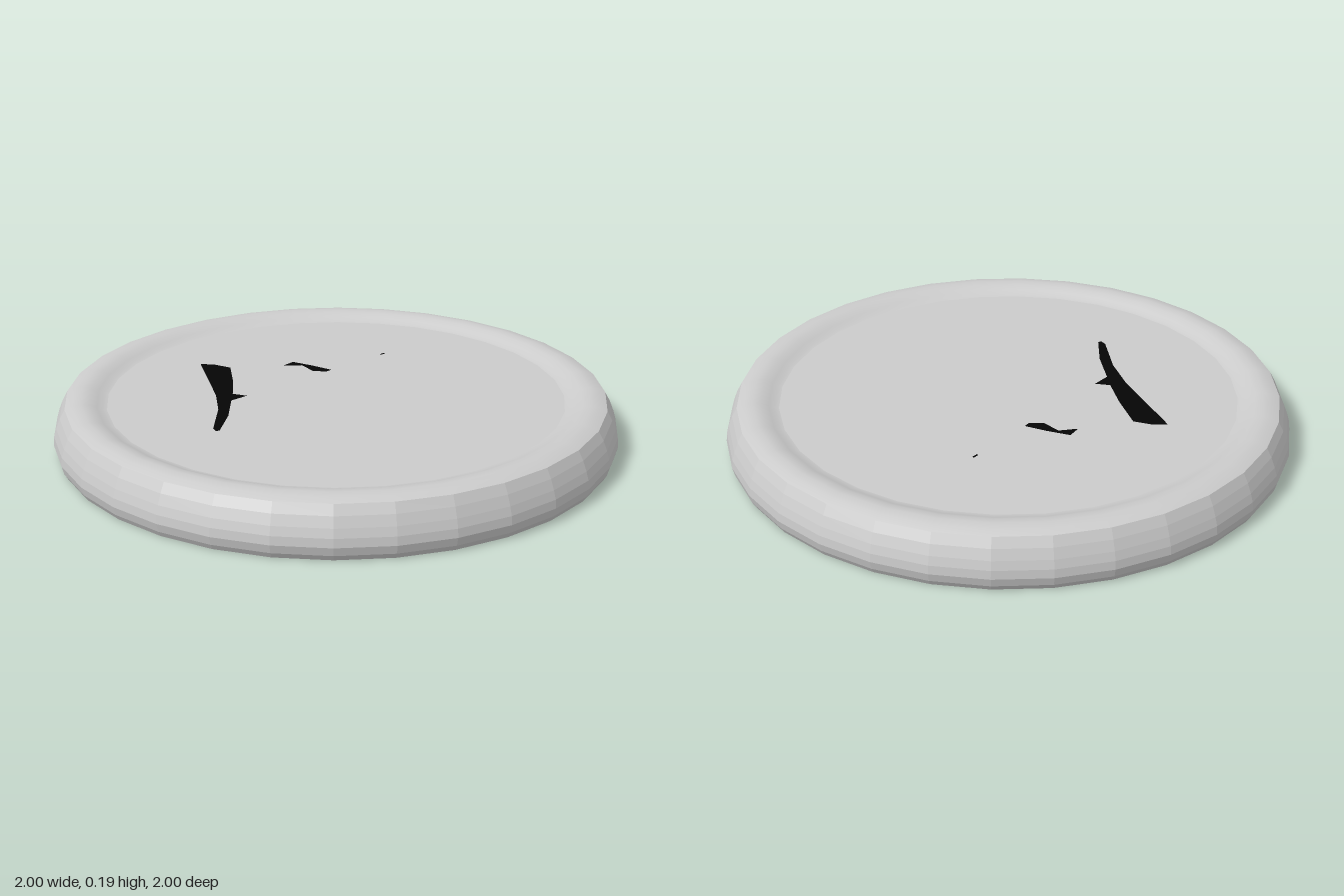
import * as THREE from 'three';

const SIDES = 32;
const FLOOR_Y = 0.166;

export function createModel() {
  const group = new THREE.Group();
  const grey = new THREE.MeshStandardMaterial({ color: 0xcccccc });
  const greyFlat = new THREE.MeshStandardMaterial({ color: 0xcccccc, flatShading: true });
  const black = new THREE.MeshStandardMaterial({ color: 0x050505, side: THREE.DoubleSide });

  const add = (name, geometry, material, y = 0) => {
    const mesh = new THREE.Mesh(geometry, material);
    mesh.name = name;
    mesh.position.y = y;
    group.add(mesh);
  };
  const lathe = (points) =>
    new THREE.LatheGeometry(points.map(([r, y]) => new THREE.Vector2(r, y)), SIDES);
  const disc = (r, up) =>
    new THREE.CircleGeometry(r, SIDES).rotateX(up ? -Math.PI / 2 : Math.PI / 2);

  // Faceted outer wall, bulging near the bottom and leaning in at the top
  add('outerWall', lathe([
    [0.98, 0], [0.992, 0.02], [1, 0.05], [0.997, 0.08],
    [0.988, 0.11], [0.974, 0.145], [0.956, 0.178],
  ]), greyFlat);

  // Smooth rounded rim falling to the shallow recess
  add('rim', lathe([
    [0.956, 0.178], [0.93, 0.188], [0.9, 0.193], [0.87, 0.189],
    [0.845, 0.178], [0.825, 0.169], [0.81, FLOOR_Y],
  ]), grey);

  // Recessed floor and flat underside
  add('floor', disc(0.81, true), grey, FLOOR_Y);
  add('underside', disc(0.98, false), grey);

  // Dark marks lying on the floor, outlined as [x, z]
  const marks = {
    longMark: [
      [-0.25, -0.54], [-0.21, -0.505], [-0.177, -0.445], [-0.24, -0.316], [-0.306, -0.204],
      [-0.273, -0.16], [-0.343, -0.15], [-0.424, -0.03], [-0.515, 0.07], [-0.53, 0.07],
      [-0.525, 0.043], [-0.424, -0.1], [-0.365, -0.22], [-0.316, -0.354], [-0.273, -0.477],
    ],
    smallMark: [
      [0, -0.356], [0.05, -0.37], [0.09, -0.295], [0.123, -0.22], [0.097, -0.214],
      [0.059, -0.247], [0.059, -0.32], [0.022, -0.342],
    ],
    speck: [[0.37, -0.262], [0.393, -0.266], [0.393, -0.258], [0.37, -0.255]],
  };
  for (const [name, outline] of Object.entries(marks)) {
    const shape = new THREE.Shape(outline.map(([x, z]) => new THREE.Vector2(x, -z)));
    add(name, new THREE.ShapeGeometry(shape).rotateX(-Math.PI / 2), black, FLOOR_Y + 0.002);
  }

  return group;
}
